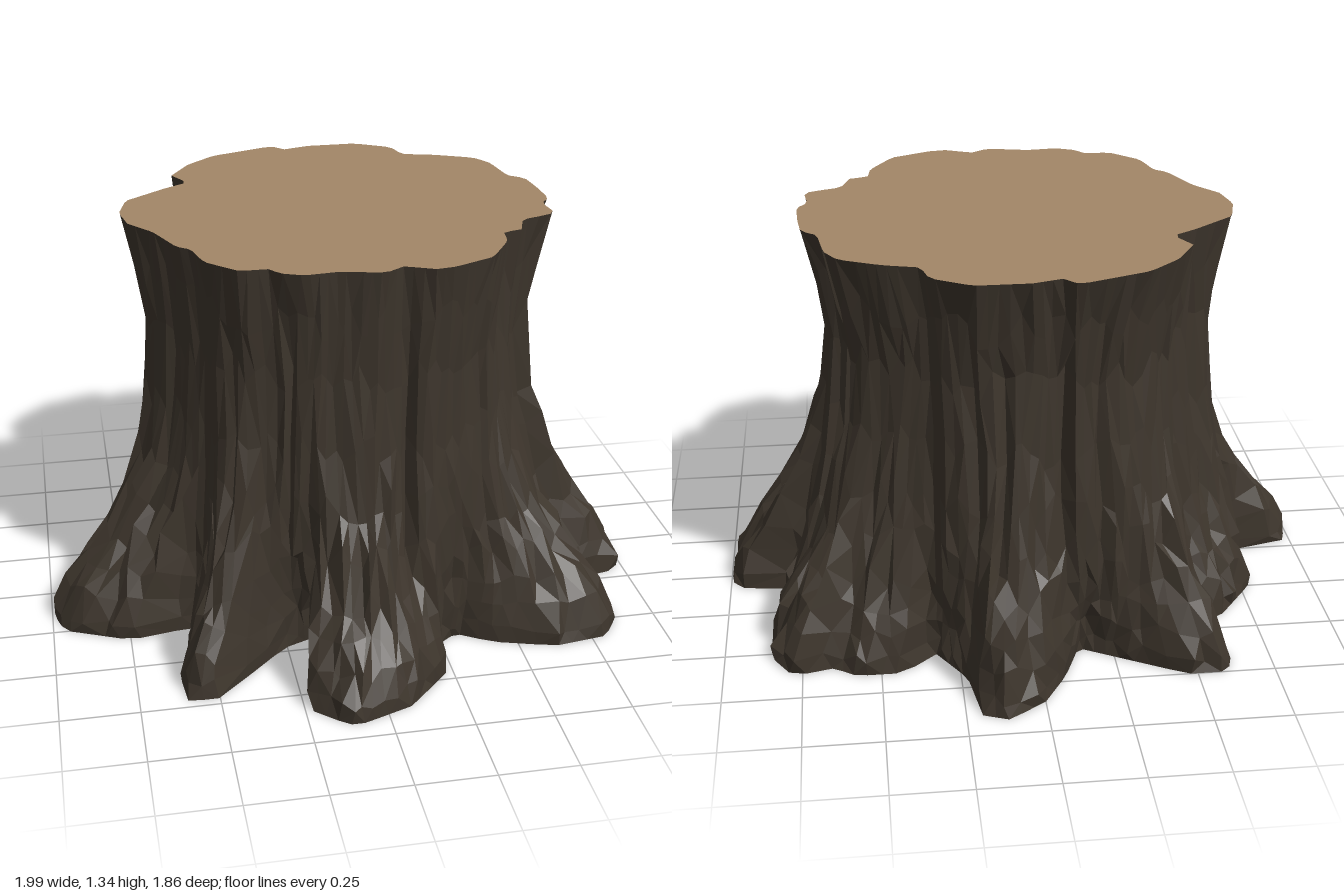
import * as THREE from 'three';

const HEIGHT = 1.335;
const SEGMENTS = 144;

// Outlines as [x, z], going round from +x towards the front
const RIM = [
  [.7, -.1], [.705, .02], [.67, .07], [.68, .15], [.66, .19], [.6, .2], [.56, .22], [.53, .31], [.47, .32],
  [.46, .4], [.43, .45], [.38, .53], [.25, .59], [.19, .6], [.1, .56], [.04, .6], [-.1, .57], [-.2, .58],
  [-.27, .55], [-.29, .51], [-.38, .51], [-.47, .42], [-.48, .39], [-.5, .3], [-.54, .27], [-.6, .12],
  [-.67, .03], [-.69, -.08], [-.66, -.2], [-.52, -.31], [-.44, -.36], [-.49, -.44], [-.42, -.56], [-.32, -.65],
  [-.1, -.73], [-.07, -.68], [.03, -.71], [.2, -.71], [.32, -.64], [.34, -.55], [.45, -.52], [.58, -.46],
  [.62, -.39], [.64, -.24], [.69, -.2],
];
const BASE = [
  [.99, -.06], [1, .02], [.98, .2], [.8, .24], [.82, .33], [.88, .5], [.82, .6], [.62, .63], [.42, .57],
  [.31, .5], [.23, .56], [.24, .7], [.08, .87], [-.08, .93], [-.13, .93], [-.25, .82], [-.23, .77], [-.13, .7],
  [-.14, .43], [-.26, .48], [-.5, .72], [-.6, .72], [-.61, .6], [-.53, .3], [-.75, .34], [-.95, .25],
  [-1, .17], [-1, .12], [-.97, .03], [-.64, -.03], [-.78, -.1], [-.78, -.25], [-.65, -.42], [-.54, -.48],
  [-.63, -.7], [-.58, -.75], [-.47, -.75], [-.14, -.57], [-.08, -.72], [0, -.85], [.12, -.93], [.2, -.9],
  [.23, -.7], [.33, -.54], [.42, -.65], [.58, -.65], [.65, -.6], [.78, -.63], [.85, -.52], [.85, -.38],
  [.79, -.1], [.93, -.1],
];

// Height, how far the trunk is drawn in to its waist, how far the roots reach out
const LEVELS = [
  [0, .4, 1], [.05, .4, .98], [.13, .45, .85], [.21, .5, .69], [.31, .55, .5], [.43, .6, .3], [.57, .7, .15],
  [.75, .9, .06], [.98, 1, .01], [1.17, .6, 0], [HEIGHT, 0, 0],
];

// Farthest distance from the axis to an outline in a direction
function radiusAt(outline, angle) {
  const c = Math.cos(angle), s = Math.sin(angle);
  let best = 0;
  outline.forEach(([ax, az], i) => {
    const [bx, bz] = outline[(i + 1) % outline.length];
    const da = az * c - ax * s, db = bz * c - bx * s;
    if (da * db > 0 || da === db) return;
    const t = da / (da - db);
    best = Math.max(best, (ax + (bx - ax) * t) * c + (az + (bz - az) * t) * s);
  });
  return best;
}

// How far a direction lies from the crest of its root: 0 on the crest, 1 in a valley
function crestFall(angle, trunk) {
  const extra = Math.max(0, radiusAt(BASE, angle) - trunk);
  let crest = .02;
  for (let k = -4; k <= 4; k++) crest = Math.max(crest, radiusAt(BASE, angle + k * .05) - trunk);
  return 1 - Math.min(1, extra / crest);
}

function seededRandom(seed) {
  return () => {
    seed = (seed * 16807) % 2147483647;
    return seed / 2147483647;
  };
}

// Rings of bark vertices: rim outline flaring into rounded roots, with grooves and chips
function makeRings() {
  const random = seededRandom(4271);
  const grooves = Array.from({ length: SEGMENTS }, () => (random() < .2 ? -.03 : .005) * (.5 + random()));
  return LEVELS.map(([y, waist, reach], level) => {
    const ends = level === 0 || level === LEVELS.length - 1;
    const middle = Math.sin(Math.PI * y / HEIGHT);
    return Array.from({ length: SEGMENTS }, (_, i) => {
      const wander = ends ? 0 : (random() - .5) * .5 + Math.sin(y * 5 + i * .4) * .4;
      const angle = (i + wander) / SEGMENTS * Math.PI * 2;
      const rim = radiusAt(RIM, angle);
      const trunk = rim + (.205 - rim * .4) * waist;
      const rounded = reach ** (1 + .8 * crestFall(angle, trunk));
      const root = (radiusAt(BASE, angle) - trunk) * rounded;
      const chip = ends ? 0 : (random() - .5) * (.01 + .025 * reach);
      const r = Math.min(trunk + root + grooves[i] * middle + chip, 1);
      const lift = ends ? 0 : (random() - .5) * (level < 4 ? .045 : .11);
      return new THREE.Vector3(Math.cos(angle) * r, y + lift, Math.sin(angle) * r);
    });
  });
}

function meshFromTriangles(name, triangles, material) {
  const geometry = new THREE.BufferGeometry().setFromPoints(triangles);
  geometry.computeVertexNormals();
  const mesh = new THREE.Mesh(geometry, material);
  mesh.name = name;
  return mesh;
}

export function createModel() {
  const bark = new THREE.MeshStandardMaterial({ color: 0x3d352c });
  bark.name = 'dark bark';
  const wood = new THREE.MeshStandardMaterial({ color: 0xa38767 });
  wood.name = 'cut wood';

  const rings = makeRings();
  const last = rings.length - 1;
  const sides = [], top = [], bottom = [];
  const topCentre = new THREE.Vector3(0, HEIGHT, 0), bottomCentre = new THREE.Vector3();

  for (let i = 0; i < SEGMENTS; i++) {
    const n = (i + 1) % SEGMENTS;
    // Bark facets, split along the shorter diagonal
    for (let j = 0; j < last; j++) {
      const a = rings[j][i], b = rings[j + 1][i], c = rings[j + 1][n], d = rings[j][n];
      if (a.distanceTo(c) < b.distanceTo(d)) sides.push(a, b, c, a, c, d);
      else sides.push(a, b, d, b, c, d);
    }
    top.push(topCentre, rings[last][n], rings[last][i]);
    bottom.push(bottomCentre, rings[0][i], rings[0][n]);
  }

  const group = new THREE.Group();
  group.name = 'treeStump';
  group.add(
    meshFromTriangles('barkAndRoots', sides, bark),
    meshFromTriangles('cutTop', top, wood),
    meshFromTriangles('underside', bottom, bark),
  );
  return group;
}
